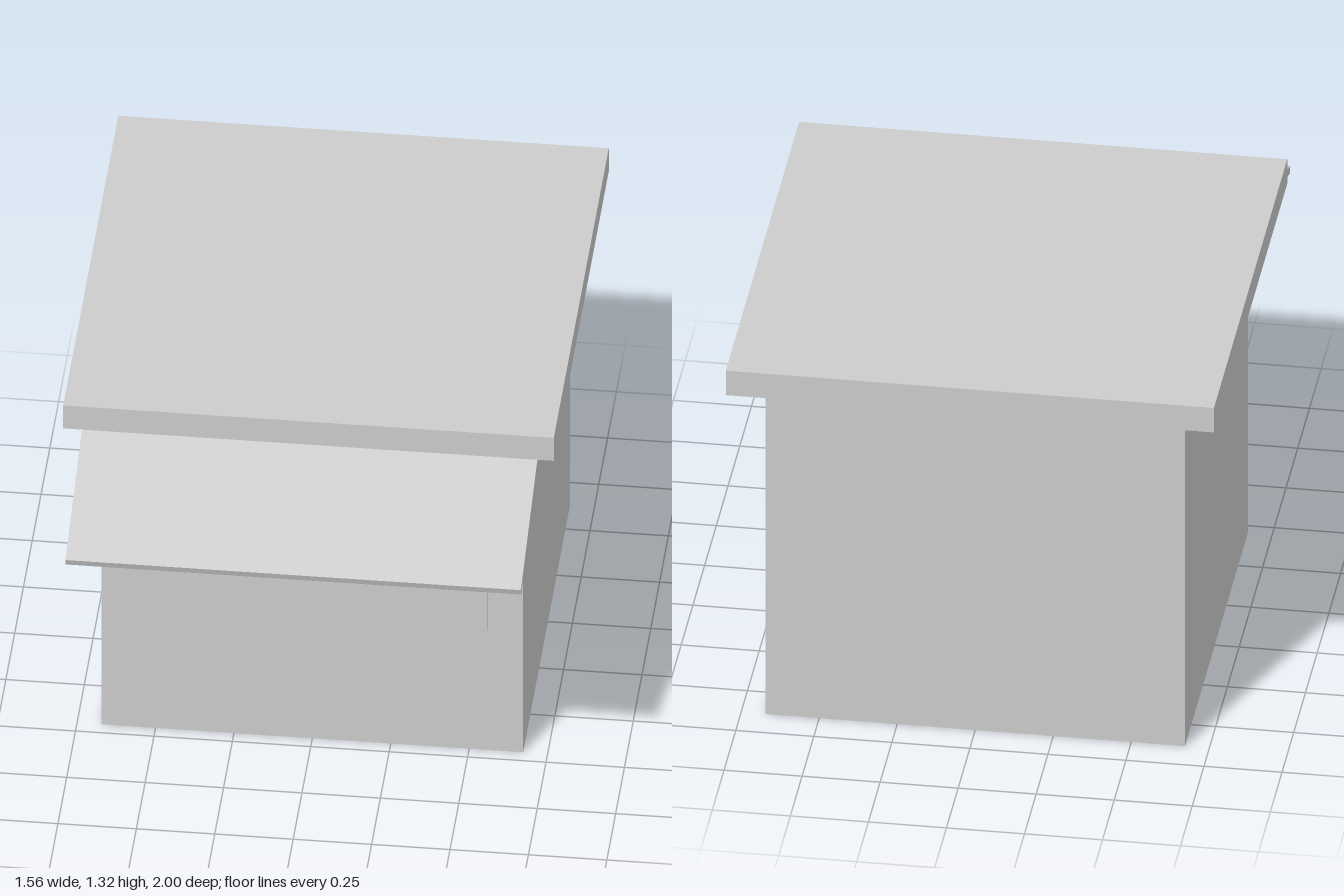
import * as THREE from 'three';

export function createModel() {
  const model = new THREE.Group();
  model.name = 'kiosk';

  const grey = new THREE.MeshStandardMaterial({ color: 0xcccccc });
  grey.name = 'light grey';

  const addBox = (name, size, position) => {
    const mesh = new THREE.Mesh(new THREE.BoxGeometry(...size), grey);
    mesh.name = name;
    mesh.position.set(...position);
    model.add(mesh);
    return mesh;
  };

  // Main cabin and overhanging flat roof
  addBox('cabin', [1.344, 1.232, 1.34], [0, 0.616, -0.215]);
  addBox('roof', [1.564, 0.09, 1.564], [0, 1.277, -0.218]);

  // Serving window panel, slightly proud of the front wall
  addBox('servingWindow', [1.118, 0.615, 0.02], [0, 0.785, 0.462]);

  // Awning hinged under the roof, sloping down towards the front
  const awning = addBox('awning', [1.452, 0.025, 0.56], [0, 1.121, 0.733]);
  awning.rotation.x = THREE.MathUtils.degToRad(20);

  return model;
}
